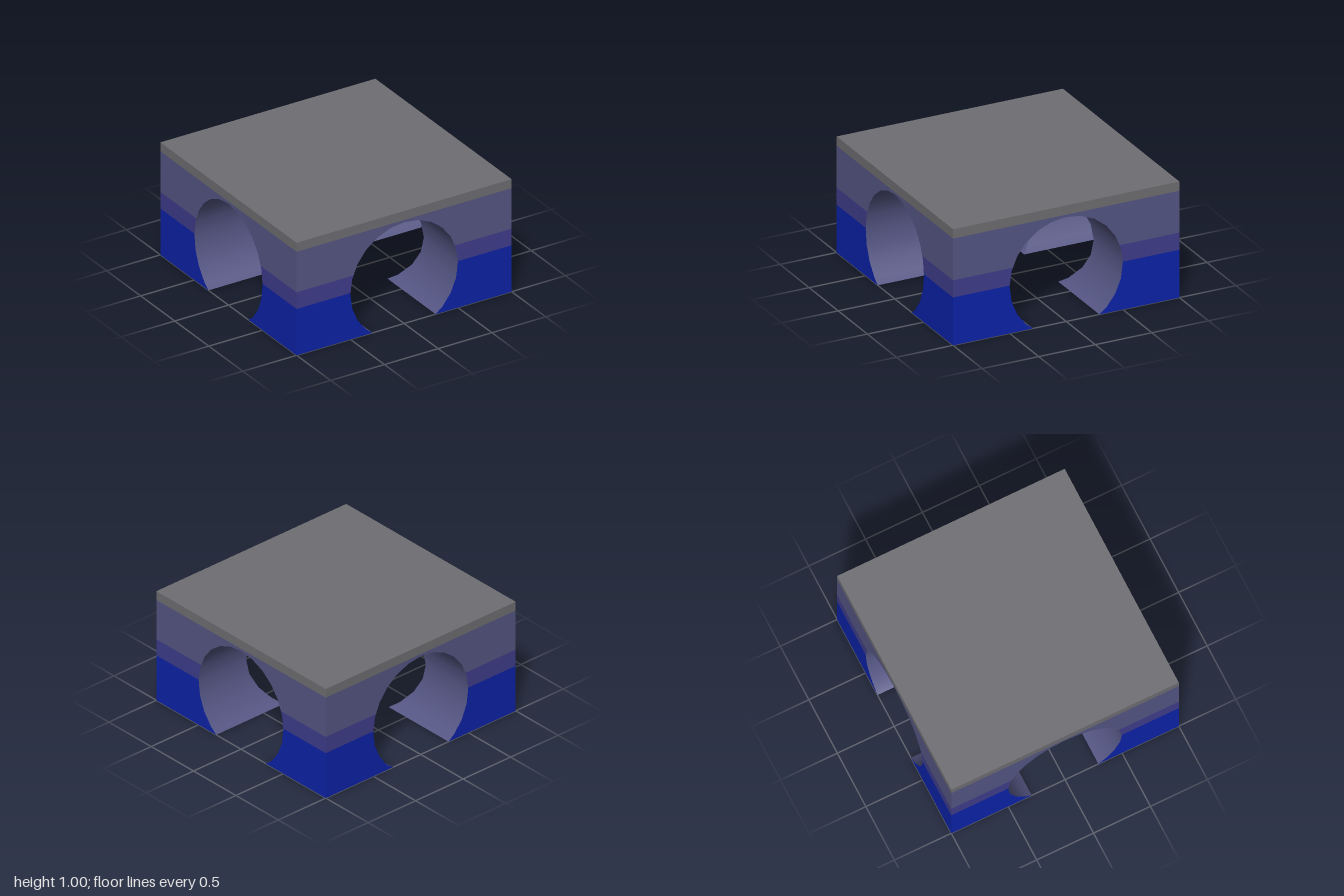
import * as THREE from 'three';

const AXIS_Y = 0.4, RADIUS = 0.5, STEP = Math.PI / 12;

const makeMaterial = (name, color) => {
  const m = new THREE.MeshStandardMaterial({ color });
  m.name = name;
  return m;
};

// Half of the 24-sided tunnel outline, from the floor up to the crown: [halfWidth, y]
const profile = [[0.293, 0]];
for (let i = -3; i <= 6; i++) {
  profile.push([Math.max(0, RADIUS * Math.cos(i * STEP)), AXIS_Y + RADIUS * Math.sin(i * STEP)]);
}

// Half width of the tunnel at a height
function halfWidth(y) {
  for (let i = 1; i < profile.length; i++) {
    const [w0, y0] = profile[i - 1], [w1, y1] = profile[i];
    if (y <= y1) return w0 + (w1 - w0) * (y - y0) / (y1 - y0);
  }
  return 0;
}

// Flat colour band on one half of an outer face, cut by the tunnel outline
function bandGeometry(y0, y1, side) {
  const inner = profile.filter(([, y]) => y > y0 + 1e-4 && y < y1 - 1e-4).reverse();
  const points = [[1, y0], [1, y1], [halfWidth(y1), y1], ...inner, [halfWidth(y0), y0]];
  const shape = new THREE.Shape(points.map(([x, y]) => new THREE.Vector2(side * x, y)));
  return new THREE.ShapeGeometry(shape).translate(0, 0, 1);
}

// Tunnel wall strip running from the crossing (mitred at 45 degrees) to the outer face
function vaultGeometry(points, side) {
  const position = [], normal = [], index = [];
  points.forEach(([w, y], i) => {
    const n = new THREE.Vector3(-side * w, AXIS_Y - y, 0).normalize();
    position.push(side * w, y, w, side * w, y, 1);
    normal.push(n.x, n.y, 0, n.x, n.y, 0);
    if (i === 0) return;
    const a = 2 * i - 2, d = a + 1, b = a + 2, c = a + 3;
    if (side > 0) index.push(a, d, c, a, c, b);
    else index.push(a, b, c, a, c, d);
  });
  const g = new THREE.BufferGeometry();
  g.setAttribute('position', new THREE.Float32BufferAttribute(position, 3));
  g.setAttribute('normal', new THREE.Float32BufferAttribute(normal, 3));
  g.setIndex(index);
  return g;
}

export function createModel() {
  const grey = makeMaterial('slab grey', 0x6f6e72);
  const slate = makeMaterial('slate blue', 0x555684);
  const purple = makeMaterial('muted purple', 0x3f3d8c);
  const blue = makeMaterial('deep blue', 0x0c22a8);

  const model = new THREE.Group();
  model.name = 'crossingArchBlock';
  const add = (parent, name, geometry, material) => {
    const mesh = new THREE.Mesh(geometry, material);
    mesh.name = name;
    parent.add(mesh);
    return mesh;
  };

  // Top slab
  add(model, 'topSlab', new THREE.BoxGeometry(2, 0.08, 2), grey).position.y = 0.96;

  // Flat crown where the tunnels cross
  add(model, 'crossingCrown', new THREE.BoxGeometry(0.26, 0.017, 0.26), grey).position.y = 0.8915;

  // Ceiling is split into wall, grey stripe and central strip
  const shoulder = profile[profile.length - 2];
  const stripeEdge = [0.04, halfWidth(0.9) + 0.895];
  const crown = profile[profile.length - 1];
  const wall = profile.slice(0, -1);
  const bands = [
    ['lowerBand', 0, 0.412, blue],
    ['middleBand', 0.412, 0.56, purple],
    ['upperBand', 0.56, 0.92, slate],
  ];

  // Four identical sides, each with mirrored halves
  for (let k = 0; k < 4; k++) {
    const sideGroup = new THREE.Group();
    sideGroup.name = ['front', 'left', 'back', 'right'][k] + 'Side';
    sideGroup.rotation.y = k * Math.PI / 2;
    model.add(sideGroup);
    for (const s of [-1, 1]) {
      for (const [name, y0, y1, mat] of bands) add(sideGroup, name, bandGeometry(y0, y1, s), mat);
      add(sideGroup, 'tunnelWall', vaultGeometry(wall, s), slate);
      add(sideGroup, 'ceilingStripe', vaultGeometry([shoulder, stripeEdge], s), grey);
      add(sideGroup, 'ceilingCentre', vaultGeometry([stripeEdge, crown], s), slate);
    }
    // Underside of one foot
    const size = 1 - profile[0][0], mid = 1 - size / 2;
    const foot = new THREE.PlaneGeometry(size, size).rotateX(Math.PI / 2).translate(mid, 0, mid);
    add(sideGroup, 'footBase', foot, blue);
  }
  return model;
}
